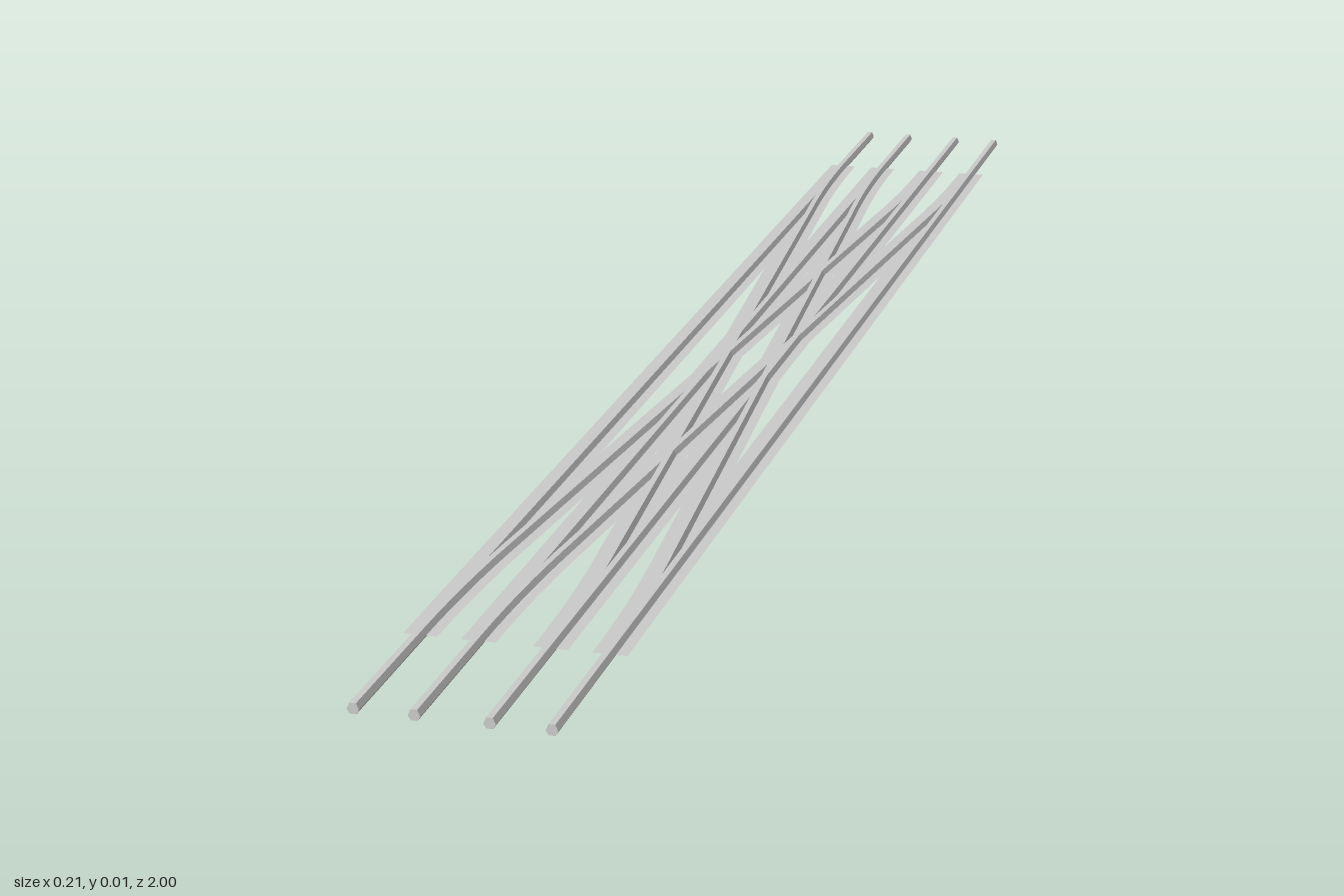
import * as THREE from 'three';

const GAUGE = 0.027;      // half the rail spacing
const TRACK = 0.06;       // offset of each track from the middle
const SLOPE = 0.082, START = 0.835, BEND = 0.625;
const STRIP_WIDTH = 0.032, STRIP_Y = 0.004;

const railMaterial = new THREE.MeshStandardMaterial({ color: 0xcccccc, flatShading: true });
const stripMaterial = new THREE.MeshStandardMaterial({ color: 0xcccccc, side: THREE.DoubleSide });

// Six-sided rail section, widest just below half height
const railShape = new THREE.Shape([
  [-0.003, 0], [0.003, 0], [0.0055, STRIP_Y], [0.003, 0.01], [-0.003, 0.01], [-0.0055, STRIP_Y],
].map(([x, y]) => new THREE.Vector2(x, y)));

// Shifts every vertex sideways by path(z)
function follow(name, geometry, material, path) {
  const p = geometry.attributes.position;
  for (let i = 0; i < p.count; i++) p.setX(i, p.getX(i) + path(p.getZ(i)));
  geometry.computeVertexNormals();
  const mesh = new THREE.Mesh(geometry, material);
  mesh.name = name;
  return mesh;
}

// Rail reaching to z = +-end
function rail(name, end, path, steps = 1) {
  const geometry = new THREE.ExtrudeGeometry(railShape, { depth: 2 * end, steps, bevelEnabled: false });
  geometry.translate(0, 0, -end);
  return follow(name, geometry, railMaterial, path);
}

// Thin flat strip carrying a rail
function strip(name, path, steps = 1) {
  const geometry = new THREE.PlaneGeometry(STRIP_WIDTH, 2 * START, 1, steps);
  geometry.rotateX(-Math.PI / 2).translate(0, STRIP_Y, 0);
  return follow(name, geometry, stripMaterial, path);
}

// Centre line of a crossover: a short bend, a straight diagonal, a short bend
function crossoverLine(z) {
  const a = Math.abs(z);
  const d = START - a;
  const x = a > BEND ? TRACK - SLOPE * d * d / (2 * (START - BEND)) : SLOPE * a;
  return Math.sign(z) * x;
}

export function createModel() {
  const model = new THREE.Group();
  model.name = 'doubleCrossoverTrack';

  for (const dir of [-1, 1]) {
    // Straight track, its rails projecting beyond the strips
    const track = new THREE.Group();
    track.name = dir < 0 ? 'rightTrack' : 'leftTrack';
    // Diagonal track crossing to the other side
    const crossover = new THREE.Group();
    crossover.name = dir < 0 ? 'crossoverToRight' : 'crossoverToLeft';

    for (const side of [-GAUGE, GAUGE]) {
      const straight = () => dir * TRACK + side;
      const diagonal = z => dir * crossoverLine(z) + side;
      track.add(rail('straightRail', 1, straight), strip('straightStrip', straight));
      crossover.add(rail('diagonalRail', START, diagonal, 48), strip('diagonalStrip', diagonal, 48));
    }
    model.add(track, crossover);
  }
  return model;
}
